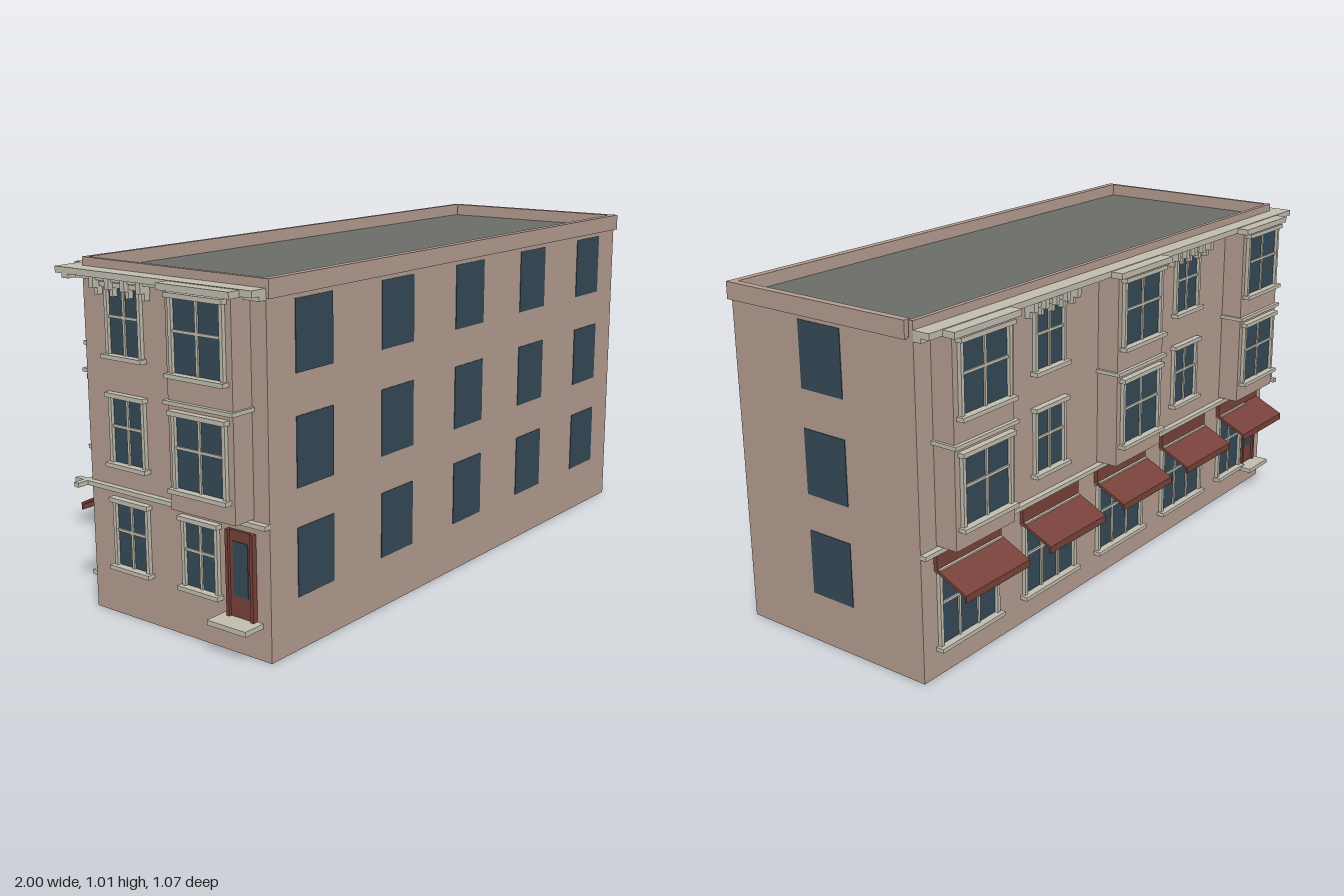
import * as THREE from 'three';

const W = 1.842, D = 0.66, PITCH = 0.368;
const mat = (color, side = THREE.FrontSide) => new THREE.MeshStandardMaterial({ color, side, flatShading: true });
const WALL = mat(0xb59d91), GLASS = mat(0x344a58), ROOF = mat(0x6b6e68);
const TRIM = mat(0xc2beb0), RED = mat(0x78423a, THREE.DoubleSide);

// Box given by its limits; z runs outward from the wall.
function block(parent, name, m, x0, x1, y0, y1, z0, z1) {
  const mesh = new THREE.Mesh(new THREE.BoxGeometry(x1 - x0, y1 - y0, z1 - z0), m);
  mesh.position.set((x0 + x1) / 2, (y0 + y1) / 2, (z0 + z1) / 2);
  mesh.name = name;
  parent.add(mesh);
  return mesh;
}

function group(parent, name, x = 0, y = 0, z = 0, ry = 0) {
  const g = new THREE.Group();
  g.name = name;
  g.position.set(x, y, z);
  g.rotation.y = ry;
  parent.add(g);
  return g;
}

// Framed window with sill, head, mullions and an optional transom.
function framedWindow(parent, name, x, y0, y1, w, z, panes, transom = true) {
  const g = group(parent, name, x, 0, z);
  const h = w / 2, t = 0.011;
  block(g, 'glass', GLASS, -h, h, y0, y1, -0.004, 0.002);
  for (const s of [-1, 1]) block(g, 'jamb', TRIM, s * h - t / 2, s * h + t / 2, y0, y1, 0, 0.012);
  for (let i = 1; i < panes; i++) {
    const px = -h + (w * i) / panes;
    block(g, 'mullion', TRIM, px - 0.004, px + 0.004, y0, y1, 0, 0.007);
  }
  if (transom) {
    const ty = y0 + (y1 - y0) * 0.56;
    block(g, 'transom', TRIM, -h, h, ty - 0.004, ty + 0.004, 0, 0.007);
  }
  block(g, 'sill', TRIM, -h - 0.014, h + 0.014, y0 - 0.012, y0, 0, 0.024);
  block(g, 'head', TRIM, -h - 0.012, h + 0.012, y1, y1 + 0.013, 0, 0.02);
}

// Two-storey projecting bay.
function bay(parent, x, w) {
  const g = group(parent, 'bayWindow', x);
  const h = w / 2, p = 0.07;
  block(g, 'lowerBay', WALL, -h, h, 0.385, 0.67, 0, p);
  block(g, 'bayBand', TRIM, -h - 0.008, h + 0.008, 0.67, 0.681, 0, p + 0.012);
  block(g, 'upperBay', WALL, -h, h, 0.681, 0.97, 0, p);
  for (const y of [0.45, 0.755]) framedWindow(g, 'bayGlazing', 0, y, y + 0.195, w - 0.05, p, 2);
  block(g, 'bayCornice', TRIM, -h - 0.012, h + 0.012, 0.966, 0.984, 0, p + 0.02);
}

// Sloping canopy with a hanging valance; cross-section extruded along the wall.
function awning(parent, x, w) {
  const s = new THREE.Shape([[0, 0.328], [0.11, 0.276], [0.11, 0.255], [0.105, 0.255], [0.105, 0.27], [0, 0.318]]
    .map(([z, y]) => new THREE.Vector2(-z, y)));
  const geo = new THREE.ExtrudeGeometry(s, { depth: w, bevelEnabled: false });
  geo.rotateY(Math.PI / 2).translate(-w / 2, 0, 0).rotateY(Math.PI);
  const g = group(parent, 'awning', x);
  const fixed = new THREE.Mesh(geo, RED);
  fixed.name = 'canopy';
  // The profile points outward along +z after the turns above.
  geo.computeBoundingBox();
  if (geo.boundingBox.max.z < 0.05) geo.rotateY(Math.PI);
  g.add(fixed);
  block(g, 'fasciaBoard', RED, -w / 2, w / 2, 0.322, 0.366, 0, 0.012);
}

// Door with panel glass, frame and step.
function door(parent, x, w, y0, y1, step) {
  const g = group(parent, 'door', x);
  const h = w / 2;
  block(g, 'doorLeaf', RED, -h, h, y0, y1, 0, 0.008);
  block(g, 'doorGlass', GLASS, -h * 0.6, h * 0.6, y0 + 0.06, y1 - 0.03, 0, 0.01);
  for (const s of [-1, 1]) block(g, 'doorJamb', RED, s * h - 0.005, s * h + 0.005, y0, y1, 0, 0.016);
  block(g, 'step', TRIM, -h - 0.025, h + 0.025, y0 - 0.014, y0, 0, step);
}

// Row of brackets below the cornice.
function brackets(parent, x, w, n) {
  for (let i = 0; i < n; i++) {
    const bx = x - w / 2 + (w * i) / (n - 1);
    block(parent, 'bracket', TRIM, bx - 0.008, bx + 0.008, 0.935, 0.965, 0, 0.035);
    block(parent, 'bracketFoot', TRIM, bx - 0.006, bx + 0.006, 0.915, 0.935, 0, 0.018);
  }
}

// Cornice and belt course across a decorated facade.
function courses(f, x0, x1) {
  block(f, 'beltCourse', TRIM, x0, x1, 0.367, 0.38, 0, 0.018);
  block(f, 'corniceBed', TRIM, x0, x1, 0.956, 0.968, 0, 0.025);
  block(f, 'cornice', TRIM, x0, x1, 0.968, 0.986, 0, 0.052);
}

export function createModel() {
  const model = new THREE.Group();
  model.name = 'building';
  const b = group(model, 'cornerBlock', 0.014, 0, 0.043, THREE.MathUtils.degToRad(9.8));
  const hw = W / 2, hd = D / 2;

  // Body, roof and parapet
  block(b, 'walls', WALL, -hw, hw, 0, 0.965, -hd, hd);
  block(b, 'roof', ROOF, -hw + 0.01, hw - 0.01, 0.96, 0.972, -hd + 0.01, hd - 0.01);
  const o = 0.009, t = 0.014;
  block(b, 'parapetFront', WALL, -hw, hw + o, 0.96, 1.01, hd - t, hd + o);
  block(b, 'parapetBack', WALL, -hw, hw, 0.96, 1.01, -hd, -hd + t);
  block(b, 'parapetRight', WALL, hw - t, hw + o, 0.96, 1.01, -hd + 0.02, hd);
  block(b, 'parapetLeft', WALL, -hw, -hw + t, 0.96, 1.01, -hd, hd);

  // Plain facades with flush windows
  const front = group(b, 'frontFacade', 0, 0, hd);
  const right = group(b, 'rightFacade', hw, 0, 0, Math.PI / 2);
  for (const y of [0.15, 0.45, 0.755]) {
    for (let i = -2; i <= 2; i++)
      block(front, 'plainWindow', GLASS, i * PITCH - 0.076, i * PITCH + 0.076, y, y + 0.192, -0.004, 0.002);
    block(right, 'plainWindow', GLASS, -0.076, 0.076, y, y + 0.192, -0.004, 0.002);
  }

  // Street facade: shops below, alternating bays and windows above
  const back = group(b, 'shopFacade', 0, 0, -hd, Math.PI);
  courses(back, -hw, hw + 0.052);
  for (let i = -2; i <= 2; i++) {
    const x = i * PITCH;
    if (i === 2) {
      framedWindow(back, 'shopWindow', x - 0.045, 0.09, 0.31, 0.15, 0, 2);
      door(back, x + 0.085, 0.075, 0.085, 0.31, 0.06);
    } else framedWindow(back, 'shopWindow', x, 0.09, 0.31, 0.24, 0, 3);
    awning(back, x, 0.27);
    if (i % 2 === 0) bay(back, x, 0.245);
    else {
      for (const y of [0.45, 0.755]) framedWindow(back, 'sashWindow', x, y, y + 0.185, 0.135, 0, 2);
      brackets(back, x, 0.2, 5);
    }
  }

  // Side street facade
  const left = group(b, 'sideFacade', -hw, 0, 0, -Math.PI / 2);
  courses(left, -hd - 0.052, hd);
  bay(left, 0.165, 0.225);
  for (const y of [0.15, 0.45, 0.755]) framedWindow(left, 'sashWindow', -0.17, y, y + 0.185, 0.125, 0, 2);
  framedWindow(left, 'sashWindow', 0.09, 0.15, 0.335, 0.12, 0, 2);
  door(left, 0.235, 0.085, 0.105, 0.345, 0.07);
  brackets(left, -0.17, 0.18, 4);

  return model;
}
